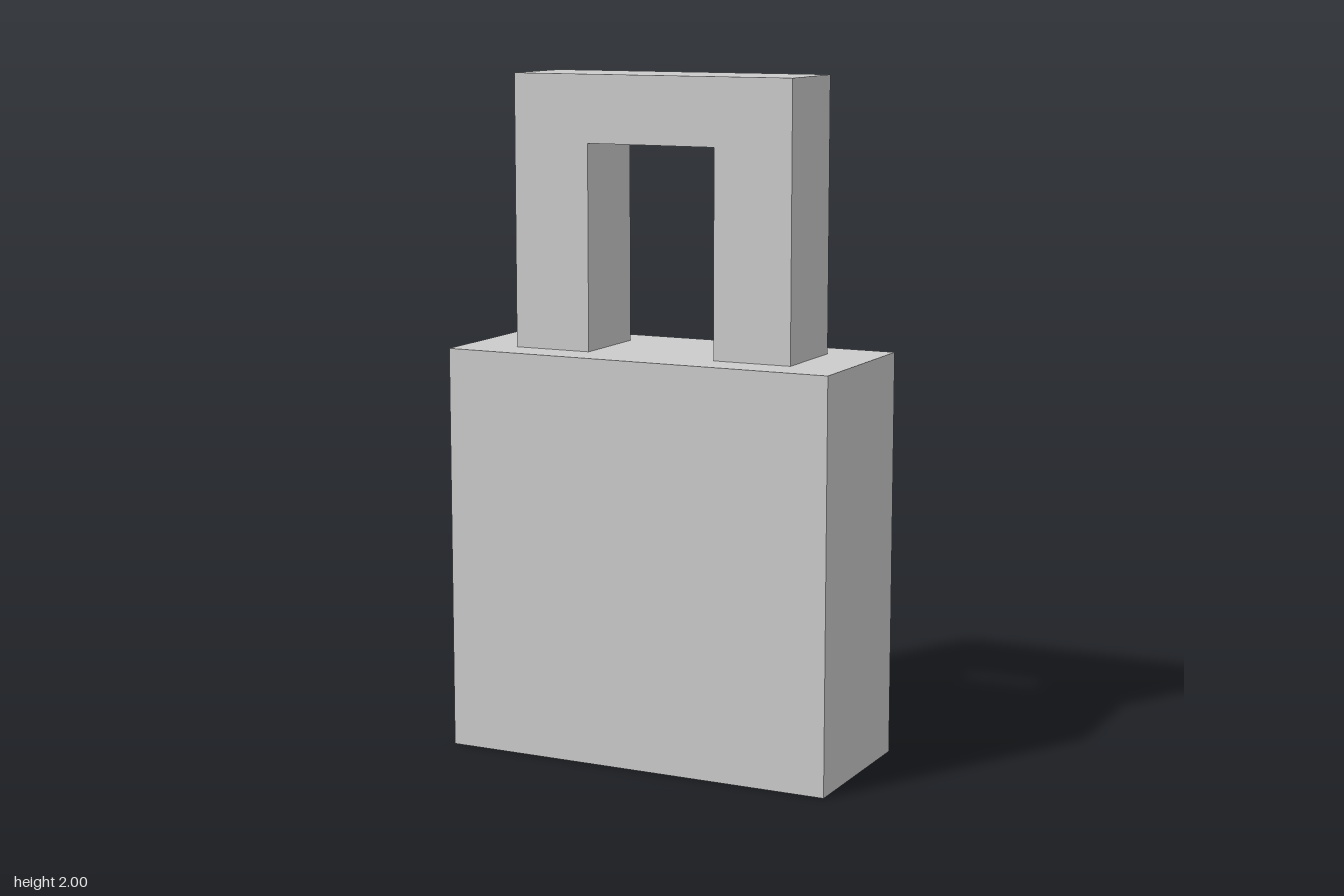
import * as THREE from 'three';

export function createModel() {
  const model = new THREE.Group();
  model.name = 'padlock';
  const material = new THREE.MeshStandardMaterial({ color: 0xcccccc, flatShading: true });

  // Solid block body
  const bodyHeight = 1.2;
  const body = new THREE.Mesh(new THREE.BoxGeometry(1.2, bodyHeight, 0.5), material);
  body.name = 'body';
  body.position.y = bodyHeight / 2;
  model.add(body);

  // Square shackle: an upside-down U standing on the body
  const outer = 0.438, inner = 0.2, top = 2, innerTop = 1.803, depth = 0.268;
  const outline = new THREE.Shape([
    [-outer, bodyHeight], [-inner, bodyHeight], [-inner, innerTop], [inner, innerTop],
    [inner, bodyHeight], [outer, bodyHeight], [outer, top], [-outer, top],
  ].map(([x, y]) => new THREE.Vector2(x, y)));
  const shackleGeometry = new THREE.ExtrudeGeometry(outline, { depth, bevelEnabled: false });
  shackleGeometry.translate(0, 0, -depth / 2);
  const shackle = new THREE.Mesh(shackleGeometry, material);
  shackle.name = 'shackle';
  model.add(shackle);

  return model;
}
